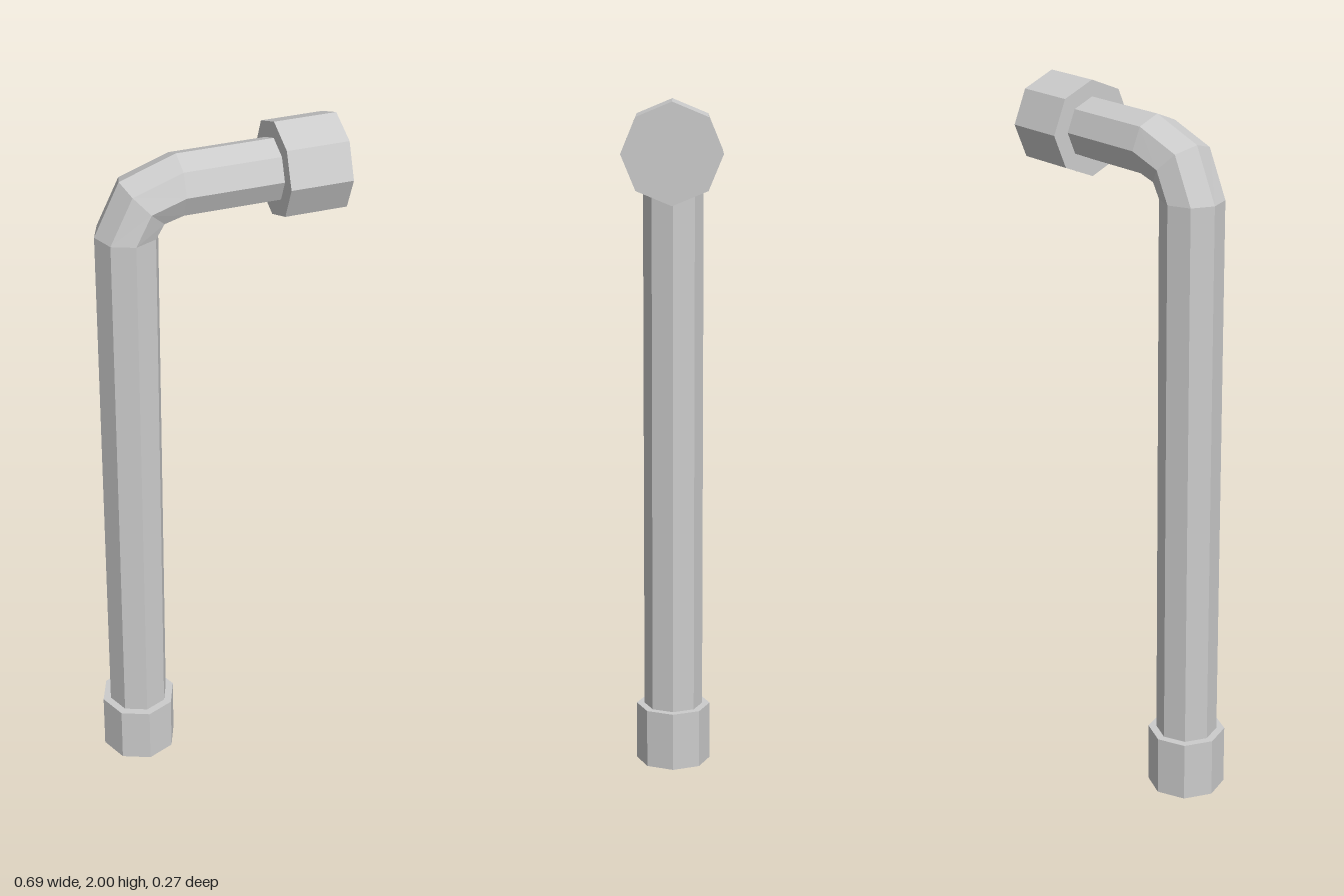
import * as THREE from 'three';

const SIDES = 8;
const material = new THREE.MeshStandardMaterial({ color: 0xcccccc, flatShading: true });

// Sweeps an octagon through stations [x, y, outward angle]
function sweptPipe(stations, radius) {
  const positions = [];
  const index = [];
  stations.forEach(([x, y, angle]) => {
    for (let j = 0; j < SIDES; j++) {
      const a = (j / SIDES) * Math.PI * 2;
      const out = radius * Math.cos(a);
      positions.push(x + out * Math.cos(angle), y + out * Math.sin(angle), radius * Math.sin(a));
    }
  });
  for (let i = 0; i < stations.length - 1; i++) {
    for (let j = 0; j < SIDES; j++) {
      const k = (j + 1) % SIDES;
      const a = i * SIDES + j, b = i * SIDES + k;
      index.push(a, b, b + SIDES, a, b + SIDES, a + SIDES);
    }
  }
  const geometry = new THREE.BufferGeometry();
  geometry.setAttribute('position', new THREE.Float32BufferAttribute(positions, 3));
  geometry.setIndex(index);
  geometry.computeVertexNormals();
  return geometry;
}

function collar(name, radius, length) {
  const mesh = new THREE.Mesh(new THREE.CylinderGeometry(radius, radius, length, SIDES), material);
  mesh.name = name;
  return mesh;
}

export function createModel() {
  const group = new THREE.Group();
  group.name = 'bentPipe';

  // Upright, two-step elbow and horizontal arm
  const pipe = new THREE.Mesh(sweptPipe([
    [-0.235, 0.16, Math.PI],
    [-0.235, 1.75, Math.PI],
    [-0.192, 1.835, Math.PI * 0.74],
    [-0.097, 1.867, Math.PI / 2],
    [0.185, 1.867, Math.PI / 2],
  ], 0.087), material);
  pipe.name = 'pipe';

  // Collar at the foot
  const foot = collar('footCollar', 0.11, 0.174);
  foot.position.set(-0.235, 0.087, 0);

  // Larger collar at the end of the arm
  const end = collar('endCollar', 0.134, 0.173);
  end.rotation.z = -Math.PI / 2;
  end.position.set(0.2565, 1.866, 0);

  group.add(pipe, foot, end);
  return group;
}
